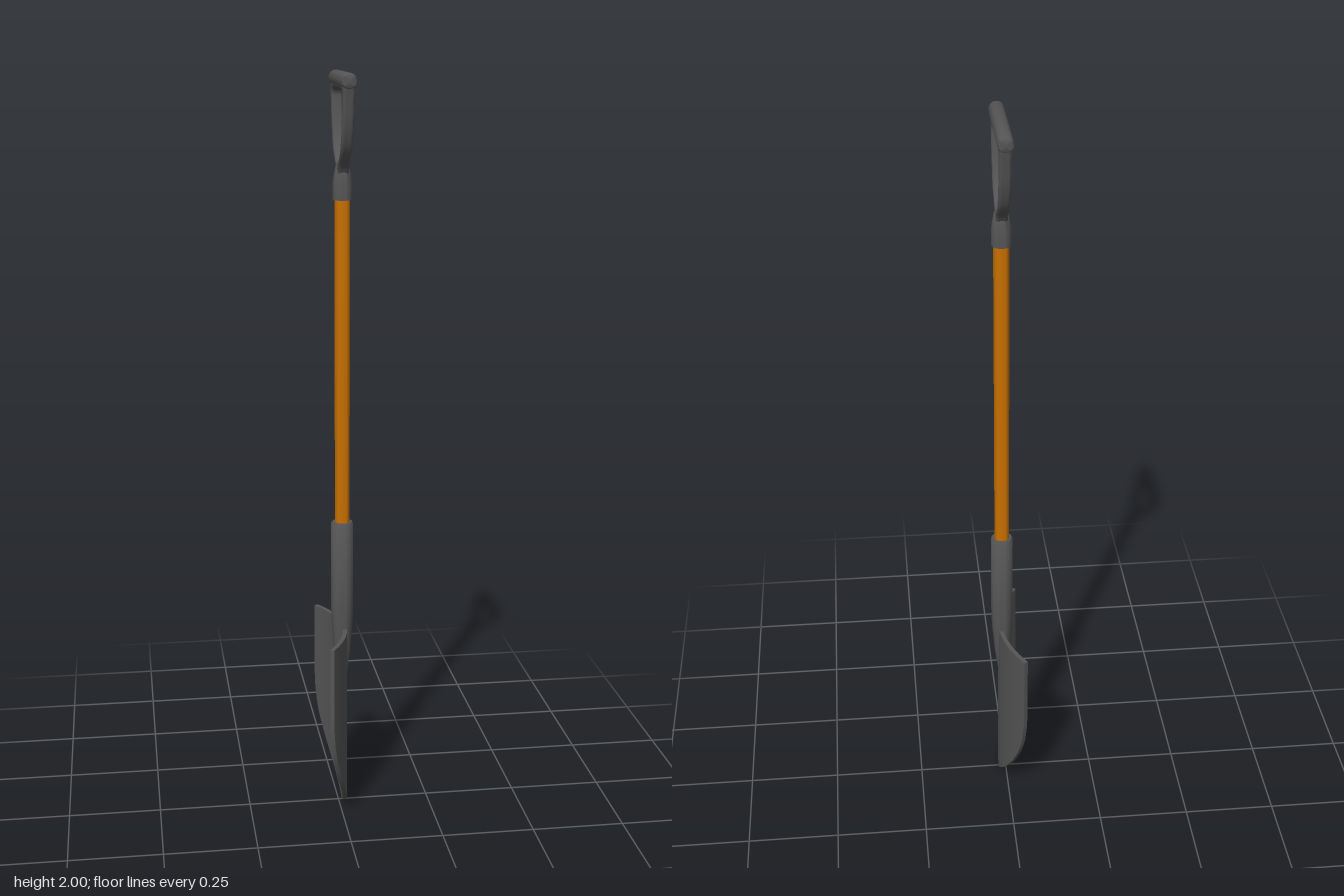
import * as THREE from 'three';
import { toCreasedNormals } from 'three/addons/utils/BufferGeometryUtils.js';

const steel = new THREE.MeshStandardMaterial({ color: 0x555555 });
const wood = new THREE.MeshStandardMaterial({ color: 0xc87000 });
const AXIS = 0.01; // x of the shaft centre line

const vecs = (pts) => pts.map(([x, y]) => new THREE.Vector2(x, y));

function part(name, geometry, material, x = 0, y = 0) {
  const mesh = new THREE.Mesh(toCreasedNormals(geometry, 0.6), material);
  mesh.name = name;
  mesh.position.set(x, y, 0);
  return mesh;
}

const lathe = (pts) => new THREE.LatheGeometry(vecs(pts), 24);

// Dished plate: a box whose rows follow the blade outline and whose section is a parabola
function bladeGeometry() {
  const outline = new THREE.SplineCurve(vecs([
    [0.001, 0], [0.035, 0.022], [0.08, 0.065], [0.125, 0.125], [0.16, 0.2],
    [0.175, 0.28], [0.177, 0.36], [0.177, 0.44], [0.177, 0.52],
  ]));
  const bend = 0.055 / 0.175 ** 2, thickness = 0.012;
  const geo = new THREE.BoxGeometry(1, 1, 2, 1, 32, 20);
  const pos = geo.attributes.position;
  for (let i = 0; i < pos.count; i++) {
    const p = outline.getPoint(pos.getY(i) + 0.5);
    const z = p.x * pos.getZ(i);
    const slope = 2 * bend * z;
    const inset = pos.getX(i) < 0 ? thickness / Math.hypot(1, slope) : 0;
    pos.setXYZ(i, 0.021 - bend * z * z - inset, p.y, z - slope * inset);
  }
  return geo;
}

// D-shaped yoke with a window, extruded and bevelled
function yokeGeometry() {
  const mirrored = (half) => vecs([...half, ...half.slice().reverse().map(([x, y]) => [-x, y])]);
  const side = new THREE.SplineCurve(vecs([
    [0.018, 1.745], [0.03, 1.765], [0.075, 1.803], [0.102, 1.86], [0.118, 1.93], [0.129, 1.985],
  ])).getPoints(20).map((p) => [p.x, p.y]);
  const windowSide = new THREE.SplineCurve(vecs([
    [0.004, 1.776], [0.03, 1.785], [0.062, 1.815], [0.083, 1.865], [0.094, 1.93], [0.09, 1.95], [0.07, 1.958],
  ])).getPoints(24).map((p) => [p.x, p.y]);
  const shape = new THREE.Shape(mirrored(side));
  shape.holes.push(new THREE.Path(mirrored(windowSide)));
  const geo = new THREE.ExtrudeGeometry(shape, {
    depth: 0.014, bevelThickness: 0.008, bevelSize: 0.007, bevelOffset: -0.007, bevelSegments: 3,
  });
  return geo.translate(0, 0, -0.007).rotateY(Math.PI / 2);
}

export function createModel() {
  const group = new THREE.Group();
  group.name = 'shovel';

  group.add(part('blade', bladeGeometry(), steel));

  // Socket tapering down into the blade
  group.add(part('socket', lathe([
    [0, 0.345], [0.007, 0.35], [0.012, 0.37], [0.021, 0.44], [0.028, 0.52],
    [0.03, 0.57], [0.03, 0.815], [0.027, 0.82], [0, 0.82],
  ]), steel, AXIS));

  group.add(part('shaft', new THREE.CylinderGeometry(0.02, 0.02, 0.92, 24), wood, AXIS, 1.25));

  // Handle: collar, yoke and crossbar
  group.add(part('handleCollar', lathe([
    [0, 1.68], [0.025, 1.68], [0.025, 1.725], [0.022, 1.745], [0.018, 1.765], [0.012, 1.773], [0, 1.775],
  ]), steel, AXIS));
  group.add(part('handleYoke', yokeGeometry(), steel, AXIS));
  const grip = lathe([
    [0, -0.131], [0.013, -0.131], [0.018, -0.128], [0.02, -0.122],
    [0.02, 0.122], [0.018, 0.128], [0.013, 0.131], [0, 0.131],
  ]).rotateX(Math.PI / 2);
  group.add(part('handleGrip', grip, steel, AXIS, 1.98));

  return group;
}
